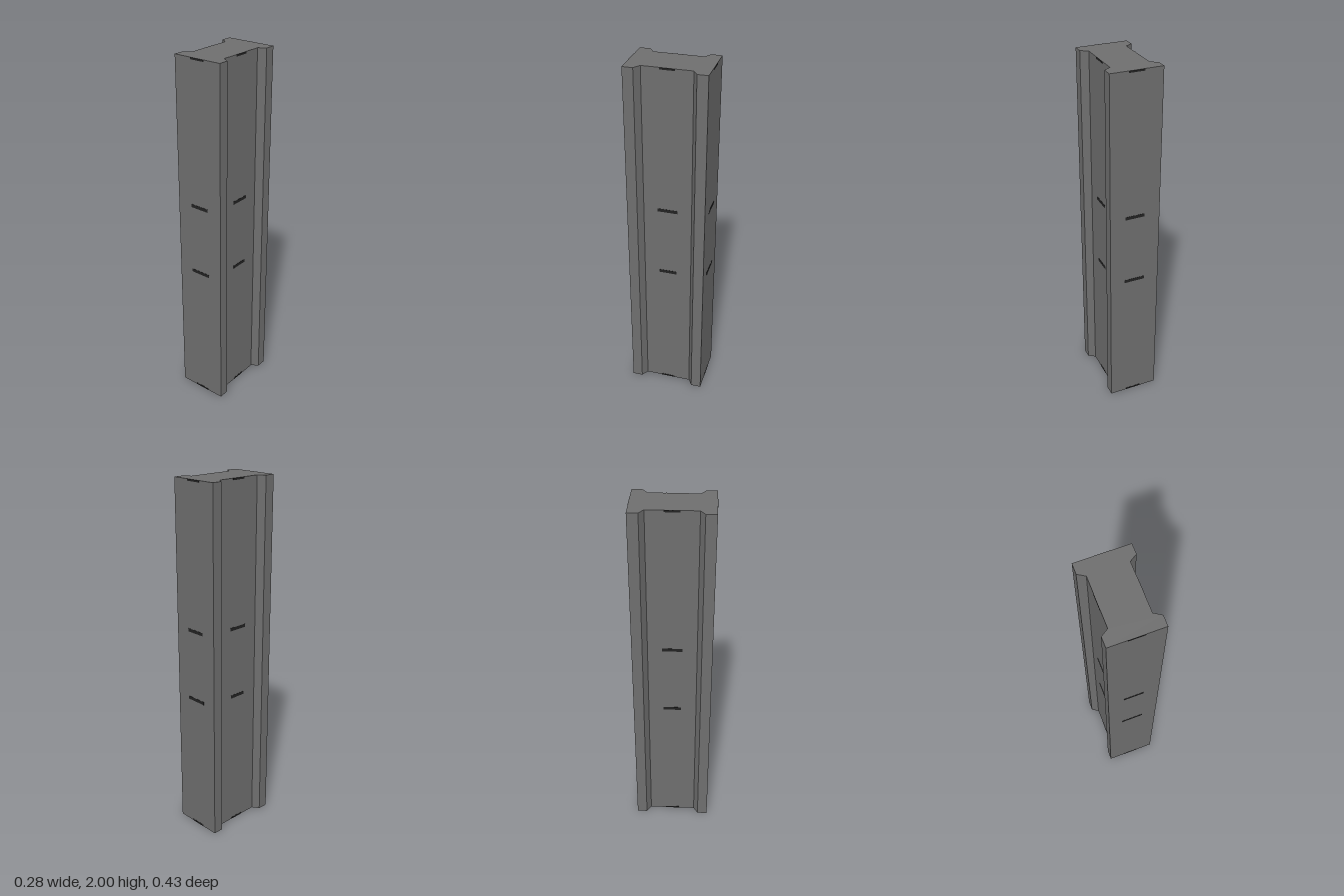
import * as THREE from 'three';

export function createModel() {
  const model = new THREE.Group();
  const concrete = new THREE.MeshStandardMaterial({ color: 0x6e6e6e, side: THREE.DoubleSide });
  concrete.name = 'grey concrete';
  const dark = new THREE.MeshStandardMaterial({ color: 0x222222 });
  dark.name = 'dark mark';

  const H = 2;
  const FLANGE_X = 0.142, WEB_X = 0.103, OUTER_Z = 0.215;

  // I-shaped cross-section: one quarter, mirrored, counter-clockwise
  const quarter = [[WEB_X, 0.133], [FLANGE_X, 0.158], [FLANGE_X, OUTER_Z]];
  const half = [...quarter, ...quarter.map(([x, z]) => [-x, z]).reverse()];
  const profile = [...half, ...half.map(([x, z]) => [-x, -z])]
    .map(([x, z]) => new THREE.Vector2(x, z));

  function add(name, geometry, material) {
    const mesh = new THREE.Mesh(geometry, material);
    mesh.name = name;
    model.add(mesh);
    return mesh;
  }

  // Shaft walls, hollow and open underneath
  profile.forEach((p, i) => {
    const q = profile[(i + 1) % profile.length];
    const wall = add('shaftWall', new THREE.PlaneGeometry(p.distanceTo(q), H), concrete);
    wall.position.set((p.x + q.x) / 2, H / 2, -(p.y + q.y) / 2);
    wall.rotation.y = Math.atan2(q.y - p.y, q.x - p.x);
  });

  // Closed top
  const cap = add('topCap', new THREE.ShapeGeometry(new THREE.Shape(profile)), concrete);
  cap.rotation.x = -Math.PI / 2;
  cap.position.y = H;

  // Thin height marks on all four sides: [y, height, width on flange, width on web]
  const marks = [
    [0.005, 0.01, 0.09, 0.08],
    [0.803, 0.018, 0.12, 0.1],
    [1.203, 0.018, 0.11, 0.11],
    [1.995, 0.01, 0.085, 0.08],
  ];
  for (const [y, h, wFlange, wWeb] of marks) {
    for (const s of [-1, 1]) {
      add('flangeMark', new THREE.BoxGeometry(wFlange, h, 0.002), dark).position.set(0, y, s * OUTER_Z);
      add('webMark', new THREE.BoxGeometry(0.002, h, wWeb), dark).position.set(s * WEB_X, y, 0);
    }
  }
  return model;
}
